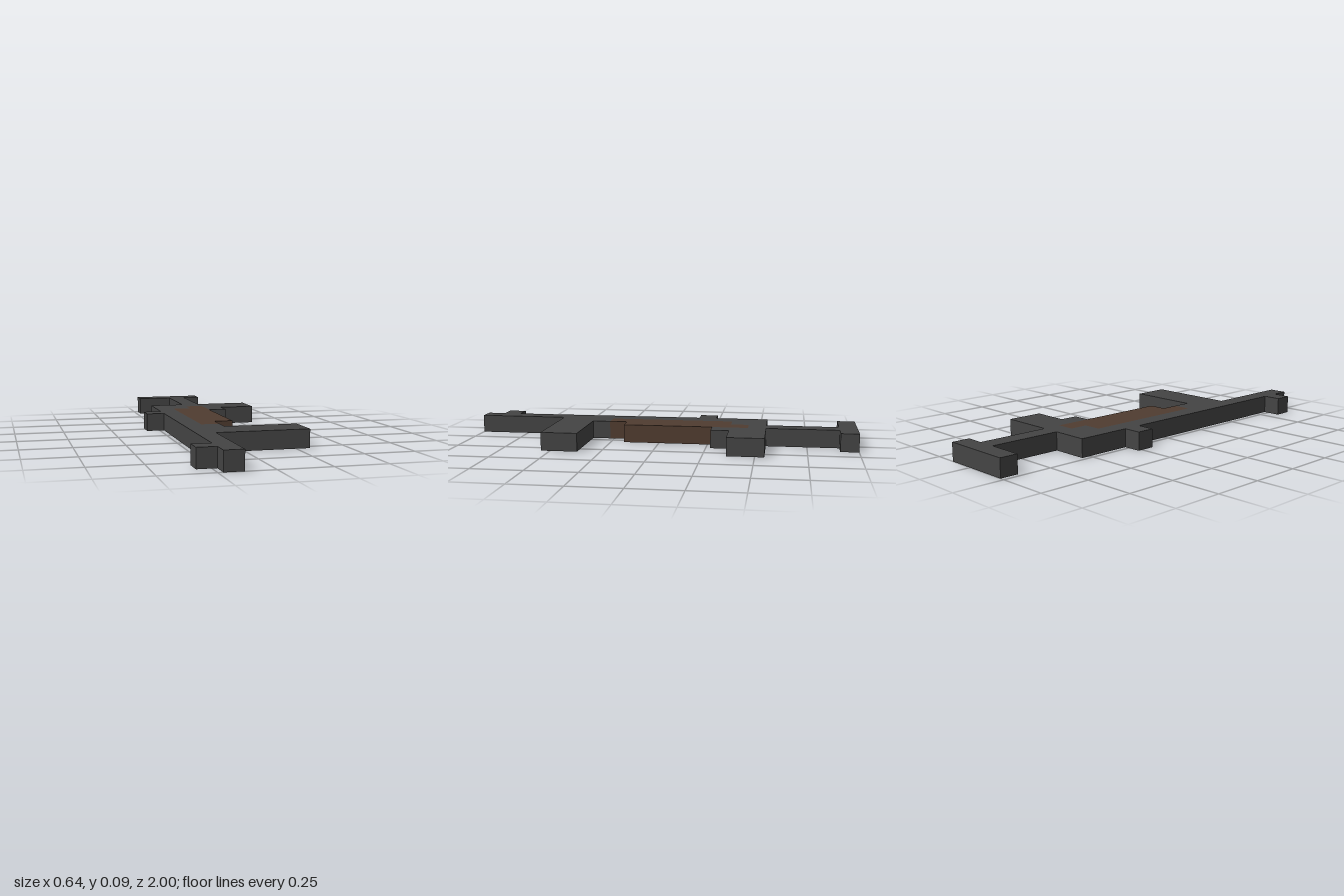
import * as THREE from 'three';

const U = 2 / 22; // one grid cell; the model is 7 cells wide and 22 long

export function createModel() {
  const group = new THREE.Group();
  group.name = 'blockRifle';

  const darkMetal = new THREE.MeshStandardMaterial({ color: 0x444444 });
  darkMetal.name = 'darkMetal';
  const brownWood = new THREE.MeshStandardMaterial({ color: 0x503c30 });
  brownWood.name = 'brownWood';

  // Lays a [column, row] outline flat and gives it one cell of thickness
  function slab(name, material, outline) {
    const shape = new THREE.Shape(
      outline.map(([c, r]) => new THREE.Vector2((c - 3.5) * U, (r - 11) * U))
    );
    const geometry = new THREE.ExtrudeGeometry(shape, { depth: U, bevelEnabled: false });
    geometry.rotateX(Math.PI / 2).translate(0, U, 0);
    const mesh = new THREE.Mesh(geometry, material);
    mesh.name = name;
    group.add(mesh);
  }

  // T-shaped shoulder stock at the back
  slab('stock', darkMetal, [
    [1, 0], [5, 0], [5, 1], [4, 1], [4, 5], [3, 5], [3, 1], [1, 1],
  ]);

  // Body with the rear grip, trigger nub and front magazine, notched for the wood
  slab('receiver', darkMetal, [
    [1, 5], [7, 5], [7, 7], [5, 7], [5, 8], [4, 8], [4, 6], [3, 6], [3, 7],
    [2, 7], [2, 14], [3, 14], [3, 15], [7, 15], [7, 17], [1, 17],
  ]);

  // Stepped wooden panel, flush with the body
  slab('woodPanel', brownWood, [
    [3, 6], [4, 6], [4, 13], [3, 13], [3, 14], [2, 14], [2, 7], [3, 7],
  ]);

  // Barrel with its front sight
  slab('barrel', darkMetal, [
    [1, 17], [2, 17], [2, 22], [1, 22], [1, 21], [0, 21], [0, 20], [1, 20],
  ]);

  slab('rearSight', darkMetal, [[0, 8], [1, 8], [1, 9], [0, 9]]);

  return group;
}
